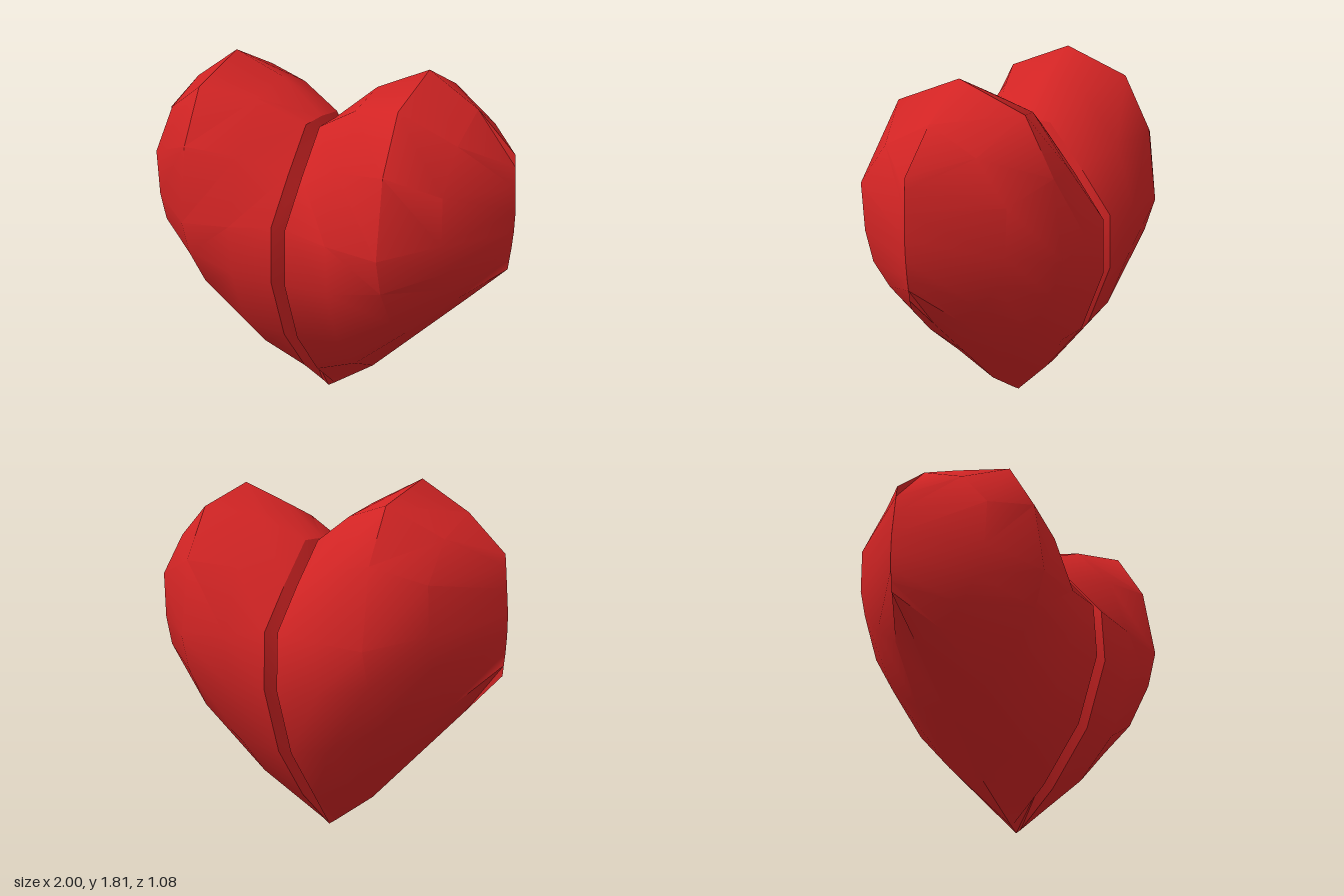
import * as THREE from 'three';
import { toCreasedNormals } from 'three/addons/utils/BufferGeometryUtils.js';

// Cross-sections at growing distance from the seam: [y, z] from top, over the front, to the bottom.
const groove = { x: 0, p: [[1.44, 0], [1.43, 0.13], [1.24, 0.29], [1.05, 0.435], [0.8, 0.445], [0.5, 0.335], [0.22, 0.14], [0, 0]] };
const seam = { x: 0.038, p: [[1.52, 0], [1.51, 0.16], [1.3, 0.335], [1.08, 0.5], [0.8, 0.51], [0.47, 0.395], [0.2, 0.19], [0.025, 0]] };
const lobe = [
  seam,
  { x: 0.27, p: [[1.7, 0], [1.63, 0.23], [1.38, 0.425], [1.05, 0.525], [0.8, 0.51], [0.5, 0.4], [0.3, 0.21], [0.19, 0]] },
  { x: 0.54, p: [[1.81, 0], [1.68, 0.34], [1.41, 0.485], [1.03, 0.538], [0.85, 0.485], [0.65, 0.36], [0.53, 0.2], [0.455, 0]] },
  { x: 0.79, p: [[1.65, 0], [1.53, 0.24], [1.33, 0.39], [1.1, 0.38], [0.95, 0.34], [0.84, 0.25], [0.75, 0.13], [0.7, 0]] },
];
// Outer rim, where front and back meet in a sharp edge
const rimX = [0.98, 0.985, 0.992, 1, 0.998, 0.992, 0.985, 0.98];
const rimY = [1.46, 1.4, 1.3, 1.18, 1.08, 1, 0.94, 0.89];
lobe.push({ x: rimX, p: rimY.map((y) => [y, 0]) });

// Closed loop: front points, then the back mirrored from them
function loop({ x, p }, side) {
  const at = (i, s) => [side * (Array.isArray(x) ? x[i] : x), p[i][0], s * p[i][1]];
  const ring = p.map((_, i) => at(i, 1));
  for (let i = p.length - 2; i > 0; i--) ring.push(at(i, -1));
  return ring;
}

function skin(sections, side, crease) {
  const rings = sections.map((s) => loop(s, side));
  const n = rings[0].length;
  const index = [];
  for (let i = 0; i < rings.length - 1; i++) {
    for (let j = 0; j < n; j++) {
      const k = (j + 1) % n;
      const a = i * n + j, b = i * n + k, c = (i + 1) * n + k, d = (i + 1) * n + j;
      if (side > 0) index.push(a, b, c, a, c, d);
      else index.push(a, c, b, a, d, c);
    }
  }
  const g = new THREE.BufferGeometry();
  g.setAttribute('position', new THREE.Float32BufferAttribute(rings.flat(2), 3));
  g.setIndex(index);
  return toCreasedNormals(g, crease);
}

export function createModel() {
  const model = new THREE.Group();
  model.name = 'heart';
  const red = new THREE.MeshStandardMaterial({ color: 0xd22424 });
  red.name = 'heartRed';

  for (const side of [1, -1]) {
    const label = side > 0 ? 'left' : 'right';
    const half = new THREE.Mesh(skin(lobe, side, 0.75), red);
    half.name = label + 'Lobe';
    const bevel = new THREE.Mesh(skin([groove, seam], side, 0.6), red);
    bevel.name = label + 'GrooveWall';
    model.add(half, bevel);
  }
  return model;
}
